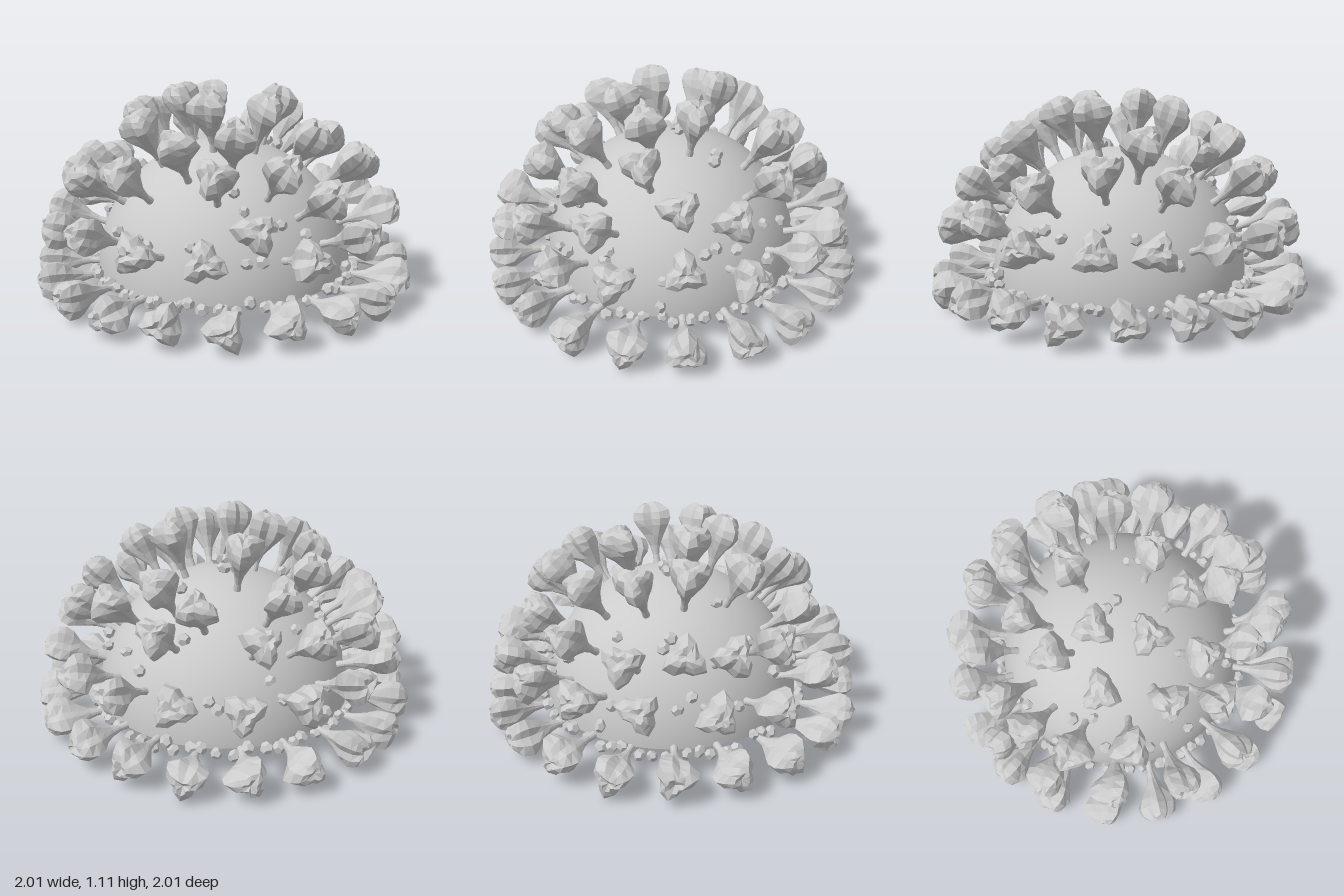
import * as THREE from 'three';

const DOME_R = 0.675, SPIKE_R = 0.87, UP = new THREE.Vector3(0, 1, 0);

// Small seeded generator
function seeded(seed) {
  let s = seed;
  return () => (s = (s * 16807) % 2147483647) / 2147483647;
}

// Club-shaped spike: thin stalk, three-lobed faceted head with a dimpled tip
function spikeGeometry(seed) {
  const rnd = seeded(seed), sides = 12;
  const profile = [[0.02, 0], [0.017, 0.05], [0.027, 0.1], [0.052, 0.16], [0.076, 0.205],
    [0.087, 0.245], [0.081, 0.285], [0.06, 0.315], [0.034, 0.328], [0, 0.312]];
  const geo = new THREE.LatheGeometry(profile.map(p => new THREE.Vector2(...p)), sides);
  const pos = geo.attributes.position, n = profile.length;
  const jitter = Array.from({ length: sides * n }, () => [rnd() - 0.5, rnd() - 0.5]);
  const lobeSize = [0, 1, 2].map(() => 0.9 + rnd() * 0.2);
  for (let k = 0; k < pos.count; k++) {
    const i = Math.floor(k / n) % sides, j = k % n;
    const head = THREE.MathUtils.smoothstep(j, 1, 5);
    const lobe = 1 + 0.3 * head * Math.cos(3 * i / sides * Math.PI * 2);
    const size = lobeSize[Math.floor(((i + 2) % sides) / 4)];
    const f = lobe * (1 + (size - 1) * head) * (1 + 0.14 * head * jitter[i * n + j][0]);
    const dy = j < n - 1 ? 0.016 * head * jitter[i * n + j][1] : 0;
    pos.setXYZ(k, pos.getX(k) * f, pos.getY(k) + dy, pos.getZ(k) * f);
  }
  return geo;
}

// Direction from the dome centre to a point at radius r above plan position x, z
function direction([x, z], r) {
  return new THREE.Vector3(x, Math.sqrt(Math.max(0, r * r - x * x - z * z)), z).normalize();
}

export function createModel() {
  const model = new THREE.Group();
  const body = new THREE.Group();
  body.name = 'halfVirus';
  body.position.y = 0.13;
  model.add(body);
  const rnd = seeded(4217);
  const smooth = new THREE.MeshStandardMaterial({ color: 0xcccccc, side: THREE.DoubleSide });
  const faceted = new THREE.MeshStandardMaterial({ color: 0xcccccc, flatShading: true });

  const add = (geo, mat, name) => {
    const mesh = new THREE.Mesh(geo, mat);
    mesh.name = name;
    body.add(mesh);
    return mesh;
  };

  // Open half shell
  add(new THREE.SphereGeometry(DOME_R, 64, 24, 0, Math.PI * 2, 0, Math.PI / 2), smooth, 'domeShell');

  // Spikes
  const variants = [11, 523, 9041, 70123].map(spikeGeometry);
  const addSpike = (dir, name) => {
    const spike = add(variants[Math.floor(rnd() * 4)], faceted, name);
    spike.position.copy(dir).multiplyScalar(DOME_R - 0.005);
    spike.quaternion.setFromUnitVectors(UP, dir);
    spike.rotateY(rnd() * Math.PI * 2);
  };

  // Even ring of spikes around the rim
  for (let i = 0; i < 20; i++) {
    const a = i / 20 * Math.PI * 2 - 0.01;
    addSpike(new THREE.Vector3(Math.sin(a), (rnd() - 0.5) * 0.03, Math.cos(a)).normalize(), 'rimSpike');
  }

  // Spikes on the dome, as plan positions of their heads
  const crown = [[-0.18, -0.11], [0.12, -0.25], [0.22, 0.14], [0.03, 0.29], [-0.2, 0.15]];
  const middle = [[-0.12, -0.46], [0.14, -0.53], [-0.3, -0.3], [0.47, -0.32], [-0.46, -0.05],
    [0.5, -0.09], [0.62, 0.11], [-0.47, 0.25], [-0.24, 0.4], [0.14, 0.49]];
  const upper = [[0.33, -0.6], [0.37, 0.54], [-0.42, 0.49], [-0.13, 0.62], [0.03, 0.73], [0.57, 0.41],
    [0.63, -0.23], [-0.69, -0.18], [-0.6, -0.4], [-0.45, -0.55], [-0.22, -0.7], [0.1, -0.7], [-0.66, 0.1]];
  const lower = [[-0.15, 0.82], [0.18, 0.8], [0.46, 0.65], [-0.56, 0.61], [-0.35, 0.7], [0.69, 0.45],
    [0.81, 0.14], [0.81, -0.13], [0.7, -0.42], [0.5, -0.65], [0.25, -0.78], [-0.05, -0.82],
    [-0.35, -0.74], [-0.62, -0.55], [-0.78, -0.3], [-0.82, 0.03], [-0.75, 0.35]];
  for (const p of [...crown, ...middle, ...upper, ...lower]) addSpike(direction(p, SPIKE_R), 'domeSpike');

  // Small nodules scattered over the shell
  const noduleGeo = new THREE.DodecahedronGeometry(0.034);
  const addNodule = (dir) => {
    const nodule = add(noduleGeo, faceted, 'nodule');
    nodule.position.copy(dir).multiplyScalar(DOME_R + 0.022);
    nodule.rotation.set(rnd() * 6, rnd() * 6, rnd() * 6);
    nodule.scale.set(0.75 + rnd() * 0.35, 0.75 + rnd() * 0.35, 0.75 + rnd() * 0.35);
  };
  const nodules = [[-0.25, 0.41], [-0.25, 0.49], [0.02, 0.63], [0.01, 0.65], [-0.31, 0.59], [-0.24, 0.62],
    [-0.1, 0.59], [-0.15, 0.58], [0.31, 0.59], [0.31, 0.62], [0.45, 0.43], [0.48, 0.38], [-0.02, -0.07],
    [0.03, -0.03], [-0.26, -0.45], [-0.27, -0.4], [-0.02, -0.5], [-0.34, -0.1], [0.28, 0.02], [0.3, 0.08],
    [-0.1, 0.09], [-0.06, 0.11], [-0.53, -0.21], [-0.53, -0.1], [0.62, -0.05], [0.59, 0.09],
    [-0.1, -0.66], [-0.05, -0.69], [0.2, -0.63], [0.24, -0.57], [0.5, -0.42], [0.46, -0.2],
    [-0.4, -0.53], [-0.62, 0.2], [-0.64, -0.03], [-0.5, 0.4], [0.55, 0.3], [0.62, -0.26],
    [0.48, -0.46], [0.38, -0.55], [-0.44, -0.47], [-0.6, -0.3], [-0.63, 0.14], [0.65, 0.15]];
  for (const p of nodules) addNodule(direction(p, DOME_R + 0.022));
  for (let i = 0; i < 60; i++) {
    const a = (i + 0.5 + (rnd() - 0.5) * 0.6) / 60 * Math.PI * 2;
    addNodule(new THREE.Vector3(Math.sin(a), (rnd() - 0.6) * 0.08, Math.cos(a)).normalize());
  }

  // Coiled strand wound in a flattened ring inside the shell
  const turns = 30, steps = turns * 12, points = [];
  for (let i = 0; i < steps; i++) {
    const u = i / steps, t = u * turns * Math.PI * 2;
    const a = u * Math.PI * 2 + 0.04 * Math.sin(t * 0.5);
    const swell = 1 + 0.06 * Math.sin(u * Math.PI * 14);
    const r = 0.4 + 0.17 * swell * Math.cos(t);
    points.push(new THREE.Vector3(r * Math.sin(a), 0.11 + 0.1 * swell * Math.sin(t), r * Math.cos(a)));
  }
  const strand = new THREE.CatmullRomCurve3(points, true);
  add(new THREE.TubeGeometry(strand, turns * 26, 0.02, 7, true), smooth, 'coiledStrand');

  // Stand on the ground, centred
  const box = new THREE.Box3().setFromObject(model, true), centre = new THREE.Vector3();
  box.getCenter(centre);
  body.position.add(new THREE.Vector3(-centre.x, -box.min.y, -centre.z));
  return model;
}
